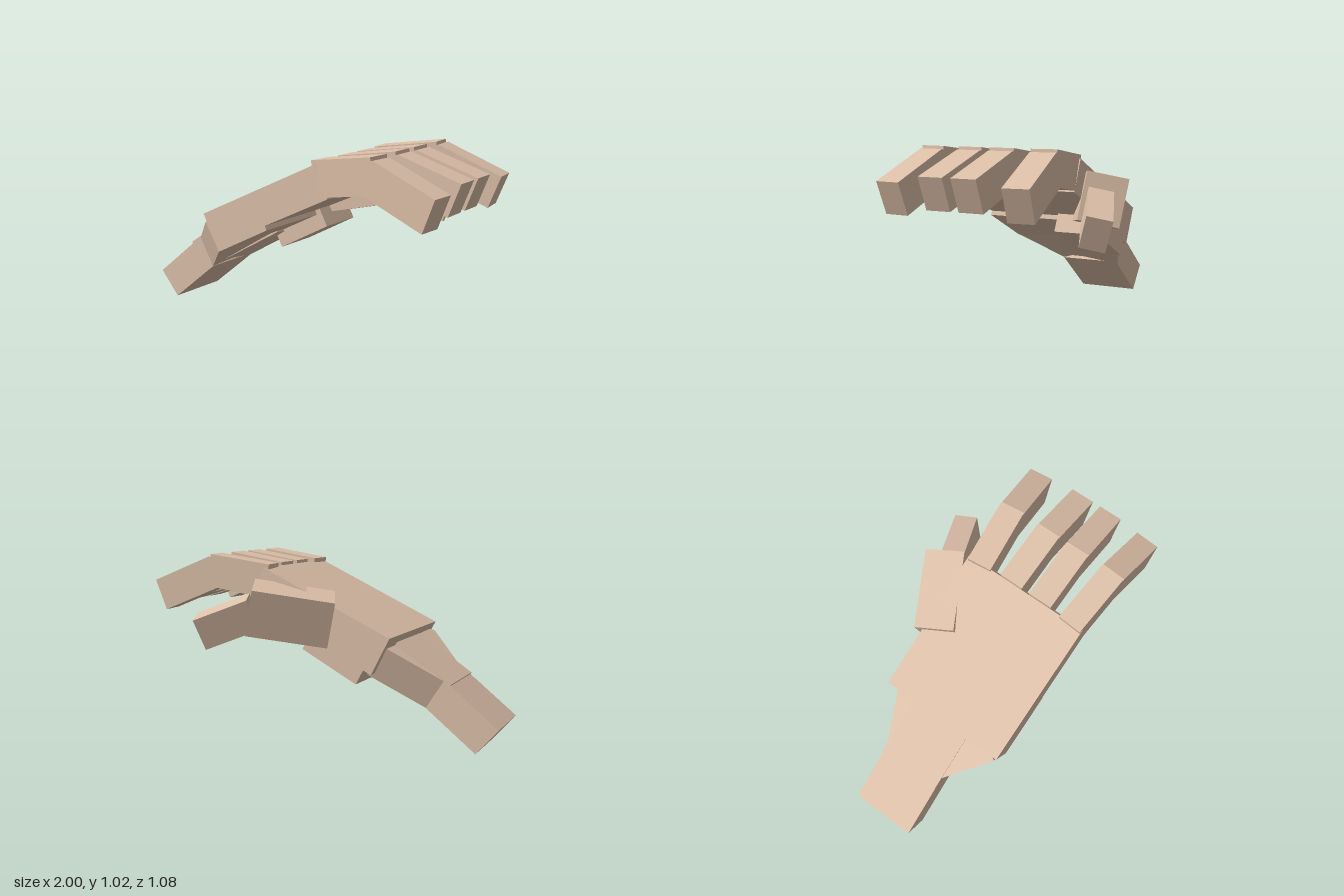
import * as THREE from 'three';

export function createModel() {
  const hand = new THREE.Group();
  hand.name = 'hand';
  const skin = new THREE.MeshStandardMaterial({ color: 0xdcbfa8 });
  skin.name = 'skin';

  function add(name, geometry) {
    const mesh = new THREE.Mesh(geometry, skin);
    mesh.name = name;
    hand.add(mesh);
    return mesh;
  }

  // Side profile in x and y, extruded from z0 to z1
  function slab(name, points, z0, z1) {
    const shape = new THREE.Shape(points.map(([x, y]) => new THREE.Vector2(x, y)));
    const geometry = new THREE.ExtrudeGeometry(shape, { depth: z1 - z0, bevelEnabled: false });
    return add(name, geometry.translate(0, 0, z0));
  }

  // Tilted block given by one corner and its three edges
  function block(name, corner, a, b, c) {
    const [u, v, w] = [a, b, c].map((e) => new THREE.Vector3(...e));
    const frame = new THREE.Matrix4().makeBasis(u, v, w);
    if (frame.determinant() < 0) frame.makeBasis(v, u, w);
    frame.setPosition(...corner);
    const geometry = new THREE.BoxGeometry(1, 1, 1).translate(0.5, 0.5, 0.5);
    return add(name, geometry.applyMatrix4(frame));
  }

  // Forearm and wrist
  slab('forearm', [[-1, 0.145], [-0.88, 0.003], [-0.58, 0.24], [-0.695, 0.387]], -0.08, 0.285);
  slab('wrist', [[-0.74, 0.365], [-0.645, 0.22], [-0.335, 0.43], [-0.43, 0.57]], -0.08, 0.285);

  // Two heel blocks fanning out from the wrist to the edges of the palm
  block('outerHeel', [-0.58, 0.242, 0.285], [0.23, 0.168, 0.2], [0.18, 0.105, -0.32], [-0.1, 0.152, -0.008]);
  block('innerHeel', [-0.6, 0.225, -0.08], [0.29, 0.177, -0.12], [0.1, 0.068, 0.34], [-0.098, 0.155, -0.002]);

  // Palm with a small step underneath, and the pad below the thumb
  slab('palm', [
    [-0.45, 0.612], [-0.347, 0.41], [-0.01, 0.578], [-0.02, 0.602], [0.375, 0.79], [0.3, 0.957],
  ], -0.24, 0.49);
  slab('thumbPad', [[-0.26, 0.352], [0.06, 0.52], [0.0, 0.635], [-0.32, 0.467]], -0.24, 0.035);

  // Fingers: bent profile measured from the knuckle, then fanned sideways
  const knuckleX = 0.28;
  [
    ['littleFinger', 0.35, 0.487, -4, 0.033],
    ['ringFinger', 0.15, 0.287, 0, 0],
    ['middleFinger', -0.035, 0.103, 0, 0],
    ['indexFinger', -0.23, -0.092, 6.3, 0.033],
  ].forEach(([name, z0, z1, yaw, drop]) => {
    const startX = yaw ? 0.28 : 0.3;
    const profile = [
      [startX, 0.975], [startX + 0.025, 0.787], [0.6, 0.835], [0.93, 0.733 - drop],
      [0.995, 0.902 - drop], [0.652, 1.01], [0.64, 1.007], [0.637, 1.025],
    ].map(([x, y]) => [x - knuckleX, y]);
    const mid = (z0 + z1) / 2;
    const finger = slab(name, profile, z0 - mid, z1 - mid);
    finger.position.set(knuckleX, 0, mid);
    finger.rotation.y = THREE.MathUtils.degToRad(yaw);
  });

  // Thumb: wide base block and slimmer tip block
  block('thumbBase', [-0.06, 0.83, -0.08], [0.385, 0.07, -0.21], [-0.095, -0.045, -0.195], [0.062, -0.25, 0.029]);
  block('thumbTip', [0.35, 0.82, -0.31], [0.27, -0.11, -0.11], [-0.05, -0.027, -0.12], [-0.04, -0.166, 0.06]);

  return hand;
}
